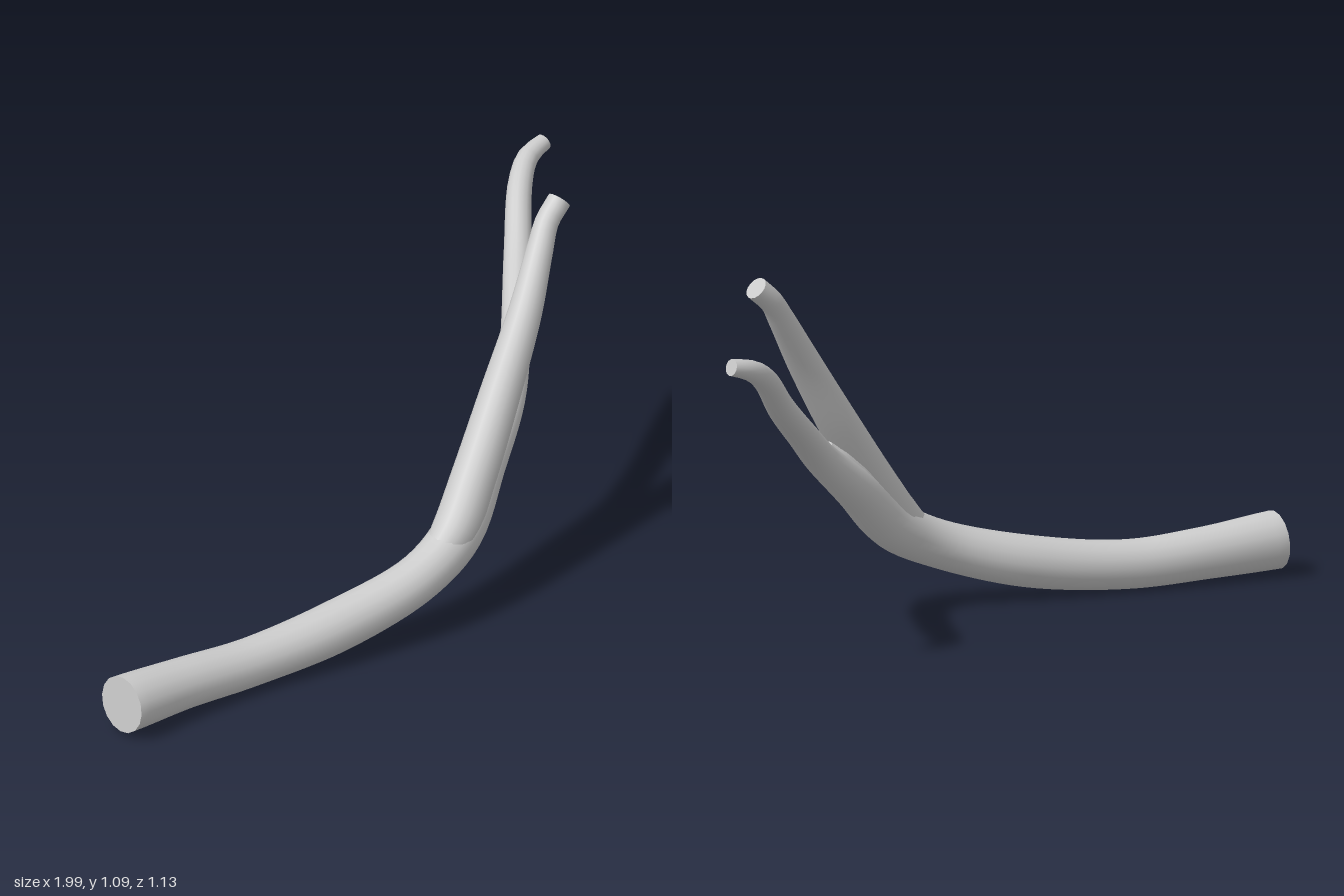
import * as THREE from 'three';

const material = new THREE.MeshStandardMaterial({ color: 0xcccccc });

// Tapered limb: stations are [x, y, z, radius]; flat caps close both ends.
function limb(name, stations, steps, sides = 16) {
  const curve = new THREE.CatmullRomCurve3(stations.map(([x, y, z]) => new THREE.Vector3(x, y, z)));
  const frames = curve.computeFrenetFrames(steps, false);
  const radii = new THREE.SplineCurve(stations.map((s, i) => new THREE.Vector2(i, s[3])));
  const pos = [], index = [];
  const ring = (i) => {
    const u = i / steps;
    const c = curve.getPointAt(u);
    const r = radii.getPoint(curve.getUtoTmapping(u)).y;
    const pts = [];
    for (let j = 0; j < sides; j++) {
      const a = (j / sides) * Math.PI * 2;
      pts.push(c.clone()
        .addScaledVector(frames.normals[i], Math.cos(a) * r)
        .addScaledVector(frames.binormals[i], Math.sin(a) * r));
    }
    return { c, pts };
  };

  // Bark surface
  for (let i = 0; i <= steps; i++) ring(i).pts.forEach((p) => pos.push(p.x, p.y, p.z));
  for (let i = 0; i < steps; i++) {
    for (let j = 0; j < sides; j++) {
      const k = (j + 1) % sides;
      const a = i * sides + j, b = i * sides + k;
      index.push(a, b, a + sides, b, b + sides, a + sides);
    }
  }

  // Cut ends, with their own vertices so the rims stay sharp
  for (const i of [0, steps]) {
    const { c, pts } = ring(i);
    const base = pos.length / 3;
    [c, ...pts].forEach((p) => pos.push(p.x, p.y, p.z));
    for (let j = 0; j < sides; j++) {
      const a = base + 1 + j, b = base + 1 + ((j + 1) % sides);
      if (i === 0) index.push(base, b, a);
      else index.push(base, a, b);
    }
  }

  const geometry = new THREE.BufferGeometry();
  geometry.setAttribute('position', new THREE.Float32BufferAttribute(pos, 3));
  geometry.setIndex(index);
  geometry.computeVertexNormals();
  const mesh = new THREE.Mesh(geometry, material);
  mesh.name = name;
  return mesh;
}

export function createModel() {
  const group = new THREE.Group();
  group.name = 'forkedBranch';

  // Main stem, running on into the long rear branch
  group.add(limb('stemAndRearBranch', [
    [-0.975, 0.1, 0.48, 0.086],
    [-0.75, 0.086, 0.43, 0.077],
    [-0.5, 0.076, 0.395, 0.073],
    [-0.2, 0.108, 0.374, 0.077],
    [0.08, 0.182, 0.352, 0.071],
    [0.24, 0.262, 0.295, 0.073],
    [0.38, 0.395, 0.195, 0.063],
    [0.52, 0.52, 0.085, 0.05],
    [0.612, 0.616, -0.04, 0.045],
    [0.757, 0.764, -0.285, 0.041],
    [0.86, 0.89, -0.455, 0.036],
    [0.92, 0.932, -0.515, 0.031],
    [0.985, 0.95, -0.54, 0.025],
  ], 72));

  // Upright branch, growing out of the bend
  group.add(limb('uprightBranch', [
    [0.12, 0.2, 0.338, 0.045],
    [0.215, 0.278, 0.312, 0.066],
    [0.31, 0.405, 0.258, 0.066],
    [0.44, 0.6, 0.178, 0.06],
    [0.565, 0.8, 0.102, 0.05],
    [0.66, 0.955, 0.024, 0.039],
    [0.7, 1.015, -0.008, 0.035],
    [0.752, 1.062, -0.028, 0.035],
  ], 44));

  // Wood filling the fork, ending in a small broken stub
  group.add(limb('forkStub', [
    [0.3, 0.34, 0.25, 0.05],
    [0.38, 0.425, 0.202, 0.052],
    [0.445, 0.495, 0.163, 0.036],
    [0.485, 0.54, 0.145, 0.018],
  ], 16, 12));

  return group;
}
